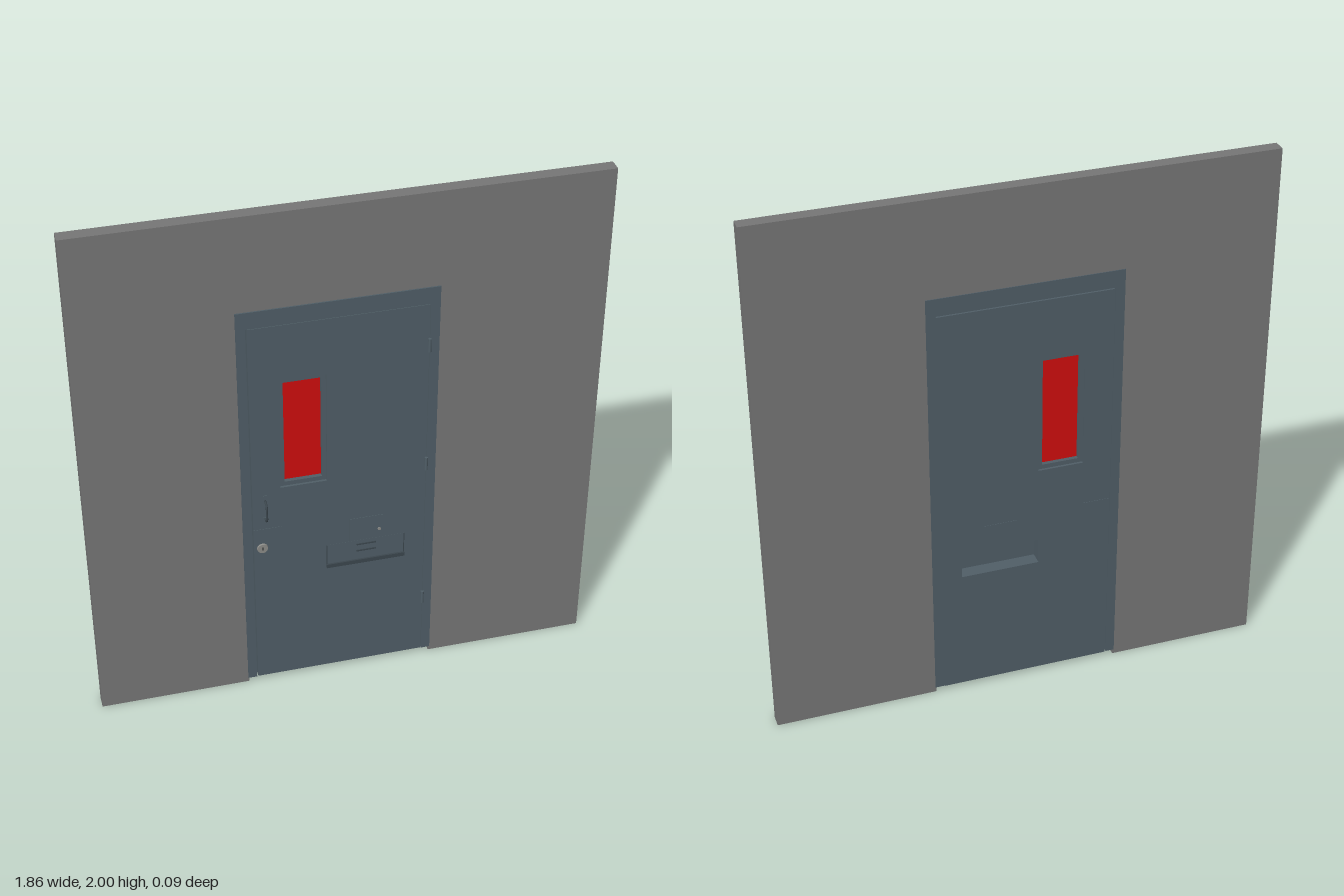
import * as THREE from 'three';

const mat = (name, color) => Object.assign(new THREE.MeshStandardMaterial({ color }), { name });

export function createModel() {
  const concrete = mat('concrete grey', 0x767676);
  const steel = mat('painted steel blue', 0x505e67);
  const darkSteel = mat('dark steel', 0x3c474e);
  const metal = mat('bare metal', 0x8c8c88);
  const red = mat('red glass', 0xd00e0e);
  const black = mat('keyhole black', 0x1c1f21);

  const model = new THREE.Group();
  model.name = 'cellDoor';

  const add = (name, geometry, material, x = 0, y = 0, z = 0) => {
    const mesh = new THREE.Mesh(geometry, material);
    mesh.name = name;
    mesh.position.set(x, y, z);
    model.add(mesh);
    return mesh;
  };
  // Box given by its limits on each axis
  const box = (name, material, x0, x1, y0, y1, z0, z1) =>
    add(name, new THREE.BoxGeometry(x1 - x0, y1 - y0, z1 - z0), material,
      (x0 + x1) / 2, (y0 + y1) / 2, (z0 + z1) / 2);
  const rect = (T, x0, x1, y0, y1) => new T([
    new THREE.Vector2(x0, y0), new THREE.Vector2(x1, y0),
    new THREE.Vector2(x1, y1), new THREE.Vector2(x0, y1),
  ]);
  // Rectangular slab with rectangular holes
  const slab = (name, material, outer, holes, z0, z1) => {
    const shape = rect(THREE.Shape, ...outer);
    holes.forEach((h) => shape.holes.push(rect(THREE.Path, ...h)));
    return add(name, new THREE.ExtrudeGeometry(shape, { depth: z1 - z0, bevelEnabled: false }),
      material, 0, 0, z0);
  };
  // Upside-down U standing around a doorway
  const portal = (name, material, [x0, x1, y0, y1], [a, b, top], z0, z1) => {
    const shape = new THREE.Shape([
      [x0, y0], [a, y0], [a, top], [b, top], [b, y0], [x1, y0], [x1, y1], [x0, y1],
    ].map((p) => new THREE.Vector2(...p)));
    return add(name, new THREE.ExtrudeGeometry(shape, { depth: z1 - z0, bevelEnabled: false }),
      material, 0, 0, z0);
  };

  // Wall and door frame
  portal('wall', concrete, [-0.93, 0.93, 0, 2], [-0.372, 0.327, 1.636], -0.04, 0.009);
  portal('doorFrame', steel, [-0.376, 0.331, 0.02, 1.64], [-0.343, 0.297, 1.575], -0.043, 0.014);

  // Door leaf with window and tray openings
  const windowHole = [-0.235, -0.067, 0.895, 1.348];
  const trayHole = [-0.069, 0.222, 0.5, 0.6];
  slab('doorLeaf', steel, [-0.338, 0.296, 0.02, 1.572], [windowHole, trayHole], -0.045, 0.012);

  // Window: recessed trim on both sides and a red pane
  const paneArea = [-0.218, -0.083, 0.912, 1.334];
  slab('windowTrim', steel, windowHole, [paneArea], -0.036, 0.003);
  box('windowPane', red, ...paneArea, -0.021, -0.012);

  // Pull handle with two end plates
  const handlePath = new THREE.CatmullRomCurve3([
    [0.77, 0.01], [0.771, 0.03], [0.782, 0.041], [0.81, 0.042],
    [0.838, 0.041], [0.849, 0.03], [0.85, 0.01],
  ].map(([y, z]) => new THREE.Vector3(-0.293, y, z)));
  add('pullHandle', new THREE.TubeGeometry(handlePath, 32, 0.004, 8), darkSteel);
  for (const y of [0.762, 0.858]) {
    box('handlePlate', steel, -0.3, -0.286, y - 0.013, y + 0.013, 0.011, 0.0145);
  }

  // Lock plates front and back, with key cylinder
  box('lockPlateFront', steel, -0.338, -0.236, 0.604, 0.722, 0.011, 0.0135);
  box('lockPlateBack', steel, -0.338, -0.236, 0.604, 0.722, -0.0465, -0.044);
  const lock = add('lockCylinder', new THREE.CylinderGeometry(0.019, 0.021, 0.007, 24), metal, -0.307, 0.637, 0.0155);
  lock.rotation.x = Math.PI / 2;
  box('keyhole', black, -0.309, -0.305, 0.63, 0.644, 0.0185, 0.0195);

  // Observation hatch on both faces, with a small knob
  box('hatchFront', steel, 0.016, 0.14, 0.604, 0.703, 0.011, 0.0135);
  box('hatchBack', steel, 0.016, 0.14, 0.604, 0.703, -0.0465, -0.044);
  const knob = add('hatchKnob', new THREE.CylinderGeometry(0.006, 0.006, 0.005, 12), metal, 0.126, 0.641, 0.015);
  knob.rotation.x = Math.PI / 2;

  // Food tray: front flap closing the opening, lip, side edges and grip
  box('trayFlap', steel, -0.069, 0.222, 0.5, 0.6, 0.006, 0.0125);
  box('trayLip', darkSteel, -0.071, 0.222, 0.497, 0.513, 0.011, 0.019);
  for (const x of [-0.069, 0.22]) {
    box('traySide', darkSteel, x - 0.0015, x + 0.0015, 0.513, 0.6, 0.011, 0.0145);
  }
  for (const y of [0.553, 0.582]) {
    box('trayGrip', darkSteel, 0.042, 0.115, y - 0.003, y + 0.003, 0.012, 0.0155);
  }

  // Hinges
  for (const y of [0.28, 0.905, 1.41]) {
    add('hinge', new THREE.CylinderGeometry(0.006, 0.006, 0.054, 12), steel, 0.296, y, 0.016);
  }
  return model;
}
